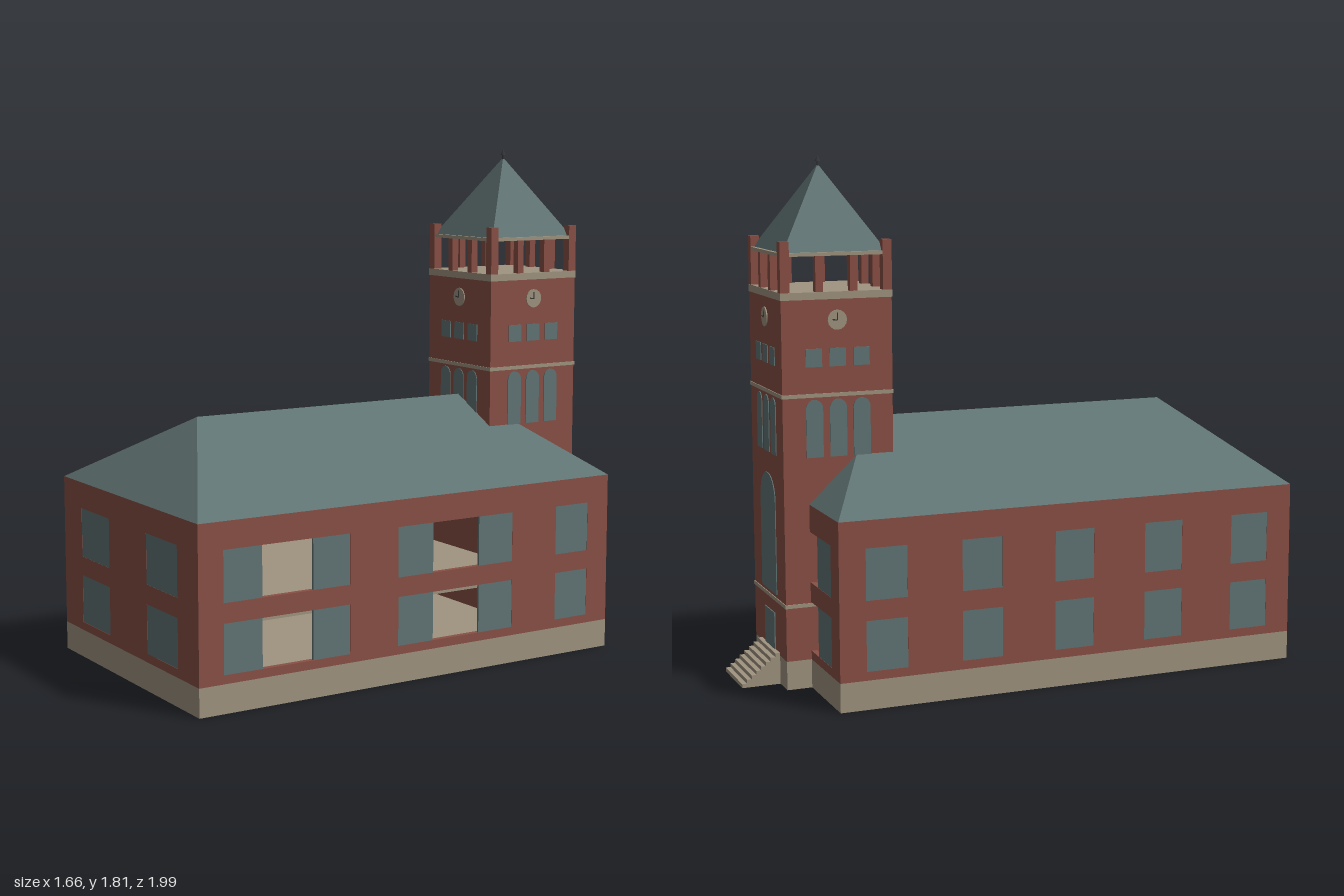
import * as THREE from 'three';

const mat = (name, color) => {
  const m = new THREE.MeshStandardMaterial({ color });
  m.name = name;
  return m;
};

export function createModel() {
  const brick = mat('brick', 0x8a5045);
  const stone = mat('stone', 0xa09480);
  const slate = mat('slate', 0x617474);
  const iron = mat('iron', 0x333638);

  const model = new THREE.Group();
  model.name = 'townHall';
  // the whole plan is turned about the vertical axis
  model.rotation.y = -0.456;
  model.position.z = 0.006;

  const HW = 0.512, HL = 0.845;       // half width and half length of the hall
  const BASE = 0.1, EAVE = 0.64, RIDGE = 0.9;

  function add(parent, name, geo, material, x = 0, y = 0, z = 0) {
    const m = new THREE.Mesh(geo, material);
    m.name = name;
    m.position.set(x, y, z);
    parent.add(m);
    return m;
  }
  // box given by its bottom and top heights
  const block = (parent, name, material, w, y0, y1, d, x = 0, z = 0) =>
    add(parent, name, new THREE.BoxGeometry(w, y1 - y0, d), material, x, (y0 + y1) / 2, z);

  const rect = (path, x0, y0, x1, y1) =>
    path.moveTo(x0, y0).lineTo(x1, y0).lineTo(x1, y1).lineTo(x0, y1).closePath();
  const group = (parent, name, ry = 0) => {
    const g = new THREE.Group();
    g.name = name;
    g.rotation.y = ry;
    parent.add(g);
    return g;
  };

  // ---------- Hall: plinth, floor, walls ----------
  block(model, 'plinth', stone, HW * 2, 0, BASE, HL * 2);
  block(model, 'upperFloor', stone, HW * 2 - 0.05, 0.285, 0.31, HL * 2 - 0.05);

  const ROWS = [[0.13, 0.302], [0.37, 0.546]];
  const T = 0.02;
  // openings: [x0, x1] spans cut from the wall; windows: glazed centres
  function wall(name, ry, halfLen, dist, openings, windows, winW) {
    const g = group(model, name, ry);
    const shape = new THREE.Shape();
    rect(shape, -halfLen, BASE, halfLen, EAVE);
    for (const [y0, y1] of ROWS) {
      for (const [x0, x1] of openings) {
        const hole = new THREE.Path();
        rect(hole, x0, y0, x1, y1);
        shape.holes.push(hole);
      }
      for (const x of windows) block(g, 'windowPane', slate, winW, y0, y1, 0.008, x, dist - 0.005);
    }
    add(g, 'brickWall', new THREE.ExtrudeGeometry(shape, { depth: T, bevelEnabled: false }), brick, 0, 0, dist - T);
  }
  const span = (a, b, w) => [a - w / 2, b + w / 2];
  const sideX = [-0.68, -0.34, 0, 0.34, 0.68], sw = 0.145;
  const fx = 0.255, fw = 0.224, bx = 0.35, bw = 0.15;
  wall('frontWall', 0, HW, HL, [span(-fx, -fx, fw), span(fx, fx, fw)], [-fx, fx], fw);
  wall('backWall', Math.PI, HW, HL, [span(-bx, bx, bw)], [-bx, bx], bw);
  wall('leftWall', Math.PI / 2, HL, HW,
    [span(-0.68, -0.34, sw), span(0, 0.34, sw), span(0.68, 0.68, sw)], sideX, sw);
  wall('rightWall', -Math.PI / 2, HL, HW, sideX.map(x => span(x, x, sw)), sideX, sw);

  // ---------- Hip roof ----------
  const r = 0.57;
  const A = [-HW, EAVE, HL], B = [HW, EAVE, HL], C = [HW, EAVE, -HL], D = [-HW, EAVE, -HL];
  const F = [0, RIDGE, r], K = [0, RIDGE, -r];
  const tris = [A, B, F, C, D, K, B, C, K, B, K, F, D, A, F, D, F, K, A, D, C, A, C, B];
  const roofGeo = new THREE.BufferGeometry();
  roofGeo.setAttribute('position', new THREE.Float32BufferAttribute(tris.flat(), 3));
  roofGeo.computeVertexNormals();
  add(model, 'hipRoof', roofGeo, slate);

  // ---------- Clock tower ----------
  const tower = group(model, 'clockTower');
  tower.position.z = -0.738;
  const S = 0.39, H = S / 2;
  block(tower, 'towerPlinth', stone, S, 0, BASE, S);
  block(tower, 'towerShaft', brick, S, BASE, 1.335, S);
  block(tower, 'lowerBand', stone, S + 0.006, 0.285, 0.298, S + 0.006);
  block(tower, 'upperBand', stone, S + 0.006, 1.005, 1.018, S + 0.006);
  block(tower, 'cornice', stone, S + 0.004, 1.335, 1.36, S + 0.004);

  const archGeo = (w, y0, y1) => {
    const s = new THREE.Shape();
    s.moveTo(-w / 2, y0).lineTo(w / 2, y0).lineTo(w / 2, y1 - w / 2);
    s.absarc(0, y1 - w / 2, w / 2, 0, Math.PI, false);
    s.closePath();
    return new THREE.ExtrudeGeometry(s, { depth: 0.005, bevelEnabled: false, curveSegments: 8 });
  };
  const dial = new THREE.CylinderGeometry(0.034, 0.034, 0.006, 16).rotateX(Math.PI / 2);
  const slimArch = archGeo(0.06, 0.8, 0.997);
  const P = 0.026;                    // belfry post width

  for (let i = 0; i < 4; i++) {
    const side = group(tower, 'towerSide', i * Math.PI / 2);
    for (const x of [-0.084, 0, 0.084]) {
      block(side, 'squareWindow', slate, 0.058, 1.108, 1.17, 0.006, x, H);
      add(side, 'archedWindow', slimArch, slate, x, 0, H - 0.002);
    }
    // clock face with two hands
    add(side, 'clockDial', dial, stone, 0, 1.265, H + 0.001);
    const hour = add(side, 'hourHand', new THREE.BoxGeometry(0.018, 0.004, 0.002), iron, -0.009, 1.265, H + 0.005);
    hour.rotation.z = -0.15;
    add(side, 'minuteHand', new THREE.BoxGeometry(0.003, 0.024, 0.002), iron, 0, 1.277, H + 0.005);
    // belfry posts and rail
    const c = H - P / 2;
    block(side, 'cornerPost', brick, 0.032, 1.36, 1.53, 0.032, H - 0.015, H - 0.015);
    for (const x of [-c / 3, c / 3]) block(side, 'belfryPost', brick, P, 1.36, 1.48, P, x, c);
    block(side, 'belfryRail', stone, S - 0.06, 1.48, 1.492, P, 0, c);
  }

  // spire and finial
  const spire = new THREE.ConeGeometry(0.183 * Math.SQRT2, 0.29, 4).rotateY(Math.PI / 4).toNonIndexed();
  spire.computeVertexNormals();
  add(tower, 'spire', spire, slate, 0, 1.635, 0);
  add(tower, 'finialStem', new THREE.CylinderGeometry(0.004, 0.004, 0.03, 6), iron, 0, 1.785, 0);
  add(tower, 'finialTip', new THREE.ConeGeometry(0.01, 0.022, 8), iron, 0, 1.8, 0);

  // ---------- Entrance on the tower's outer side ----------
  const entry = group(tower, 'entrance', Math.PI);
  add(entry, 'greatArchWindow', archGeo(0.18, 0.31, 0.725), slate, 0, 0, H - 0.002);
  block(entry, 'door', slate, 0.12, 0.11, 0.24, 0.008, 0, H);
  const N = 8, run = 0.136 / N, rise = 0.11 / N;
  for (let i = 0; i < N; i++)
    block(entry, 'step', stone, 0.222, 0, rise * (N - i), run, 0, H + run * (i + 0.5));

  const root = new THREE.Group();
  root.name = 'clockTowerHall';
  root.add(model);
  return root;
}
